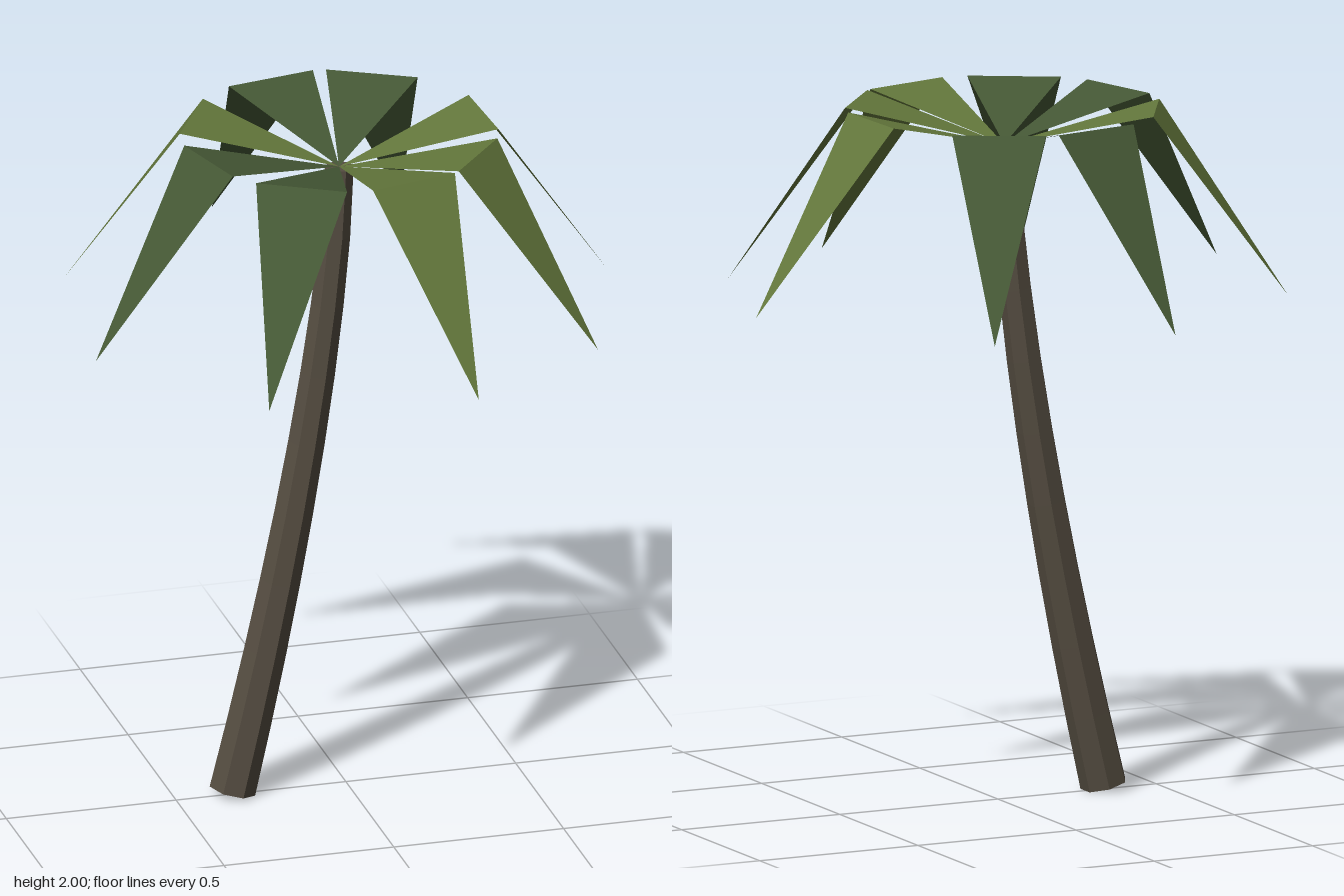
import * as THREE from 'three';

const bark = new THREE.MeshStandardMaterial({ color: 0x554d41, flatShading: true });
bark.name = 'bark brown';
const olive = new THREE.MeshStandardMaterial({ color: 0x64783c, flatShading: true, side: THREE.DoubleSide });
olive.name = 'olive leaf';
const green = new THREE.MeshStandardMaterial({ color: 0x455835, flatShading: true, side: THREE.DoubleSide });
green.name = 'dark green leaf';

const TOP = new THREE.Vector3(-0.02, 1.89, 0);
const FOOT = new THREE.Vector2(-0.335, 0.013);
const BEND = 1.45;

// Seven-sided tapered cylinder bent along a leaning curve
function makeTrunk() {
  const geo = new THREE.CylinderGeometry(0.042, 0.068, 1, 7, 9, false, -Math.PI / 2);
  const pos = geo.attributes.position;
  const lean = TOP.x - FOOT.x, height = TOP.y - FOOT.y;
  for (let i = 0; i < pos.count; i++) {
    const t = THREE.MathUtils.clamp(pos.getY(i) + 0.5, 0, 1);
    const cx = TOP.x - lean * Math.pow(1 - t, BEND);
    const cy = FOOT.y + height * t;
    const tangent = new THREE.Vector2(lean * BEND * Math.pow(1 - t, BEND - 1), height).normalize();
    const x = pos.getX(i);
    pos.setXY(i, cx + x * tangent.y, cy - x * tangent.x);
  }
  geo.computeVertexNormals();
  return new THREE.Mesh(geo, bark);
}

// Kite-shaped leaf rising to a crease, then drooping to a point
function makeLeaf(material) {
  const base = [0, 0, 0], tip = [0.805, -0.425, 0];
  const left = [0.432, 0.11, -0.133], right = [0.432, 0.11, 0.133];
  const geo = new THREE.BufferGeometry();
  geo.setAttribute('position', new THREE.Float32BufferAttribute(
    [base, right, left, left, right, tip].flat(), 3));
  geo.computeVertexNormals();
  return new THREE.Mesh(geo, material);
}

export function createModel() {
  const tree = new THREE.Group();
  tree.name = 'palmTree';

  const trunk = makeTrunk();
  trunk.name = 'trunk';
  tree.add(trunk);

  // Crown: uneven directions in degrees, from +x towards +z
  const crown = new THREE.Group();
  crown.name = 'crown';
  crown.position.copy(TOP);
  const leaves = [
    [-2.8, olive], [40, olive], [76.3, olive], [120, green],
    [164.7, green], [210, olive], [259.2, green], [298.2, green],
  ];
  leaves.forEach(([angle, material], i) => {
    const leaf = makeLeaf(material);
    leaf.name = `leaf${i + 1}`;
    leaf.rotation.y = -THREE.MathUtils.degToRad(angle);
    crown.add(leaf);
  });
  tree.add(crown);
  return tree;
}
